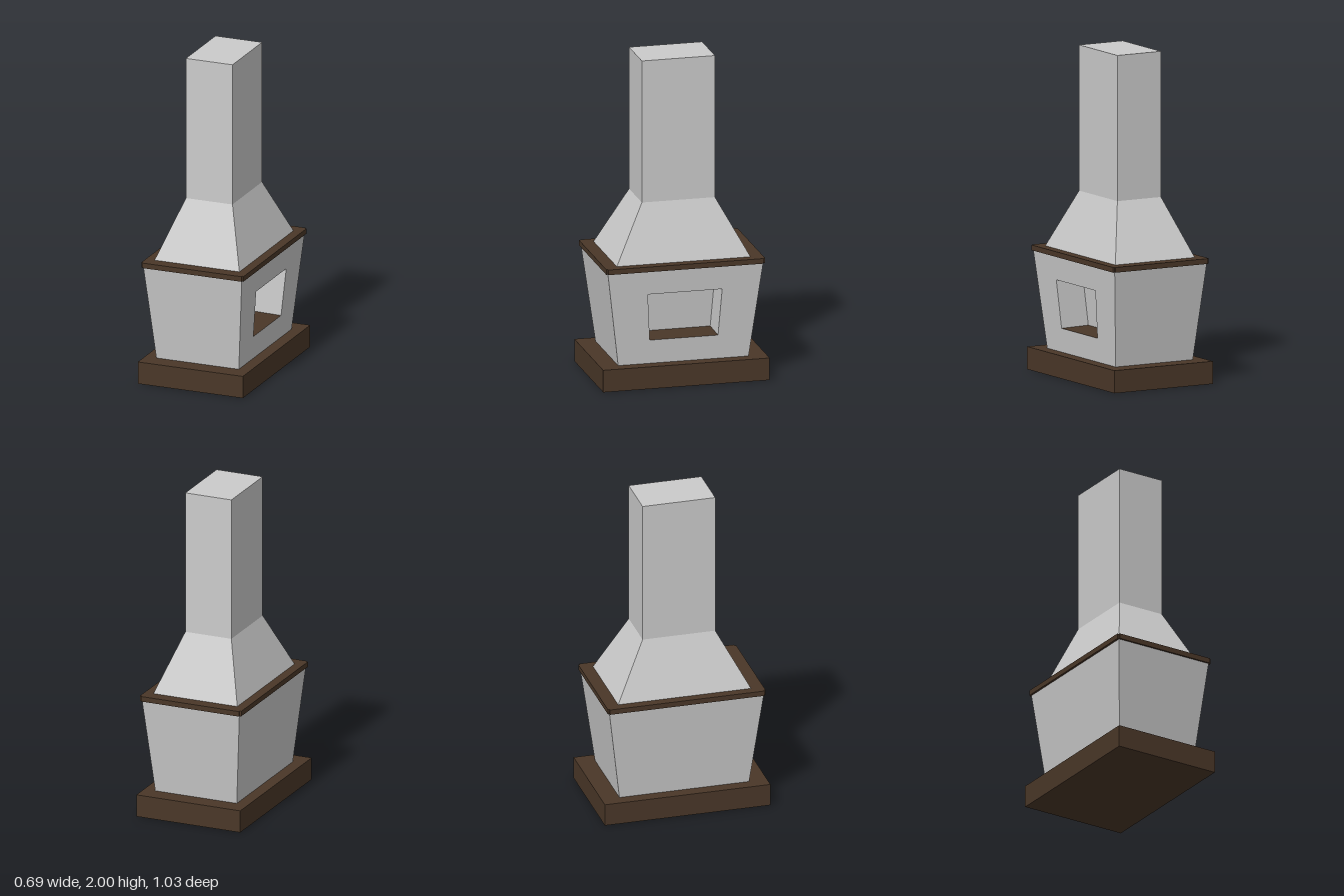
import * as THREE from 'three';

const grey = new THREE.MeshStandardMaterial({ color: 0xcccccc, flatShading: true });
const brown = new THREE.MeshStandardMaterial({ color: 0x4a3728, flatShading: true });

// Mesh from four-cornered faces, corners counter-clockwise seen from outside
function quadMesh(name, quads, material) {
  const points = quads.flatMap(([a, b, c, d]) => [a, b, c, a, c, d]);
  const geometry = new THREE.BufferGeometry();
  geometry.setAttribute('position', new THREE.Float32BufferAttribute(points.flat(), 3));
  geometry.computeVertexNormals();
  const mesh = new THREE.Mesh(geometry, material);
  mesh.name = name;
  return mesh;
}

// Corners of a rectangle at height y, starting at +x +z and running past +x -z
const ring = (x, y, z) => [[x, y, z], [x, y, -z], [-x, y, -z], [-x, y, z]];

// Sides between two four-cornered rings; side 0 faces +x
const sides = (low, high) => low.map((p, i) => {
  const j = (i + 1) % 4;
  return [p, low[j], high[j], high[i]];
});

export function createModel() {
  const model = new THREE.Group();
  model.name = 'fireplace';

  // Plinth
  const plinth = new THREE.Mesh(new THREE.BoxGeometry(0.686, 0.138, 1.034), brown);
  plinth.position.y = 0.069;
  plinth.name = 'plinth';
  model.add(plinth);

  // Firebox body, widening upwards, with an opening in its +x face
  const low = ring(0.269, 0.138, 0.405);
  const high = ring(0.321, 0.729, 0.482);
  const faceX = (y) => 0.269 + (0.052 * (y - 0.138)) / 0.591;
  const y0 = 0.287, y1 = 0.582, depth = 0.186;
  const opening = [[y0, 0.212], [y0, -0.212], [y1, -0.231], [y1, 0.231]]
    .map(([y, z]) => [faceX(y), y, z]);
  const [front, ...plainSides] = sides(low, high);
  model.add(quadMesh('body', [...plainSides, ...sides(front, opening)], grey));

  // Hearth recess: floor, two cheeks, ceiling and back
  const back = opening.map(([x, y, z], i) => [x - depth, i < 2 ? y + 0.004 : y, z]);
  const [floor, ...cheeks] = sides(opening, back);
  model.add(quadMesh('recess', [...cheeks, back], grey));
  model.add(quadMesh('hearthFloor', [floor], brown));

  // Mantel slab with small notched corners
  const w = 0.334, d = 0.493, n = 0.011;
  const outline = [];
  for (const [sx, sy] of [[1, 1], [-1, 1], [-1, -1], [1, -1]]) {
    const corner = [[w, d - n], [w - n, d - n], [w - n, d]];
    if (sx * sy < 0) corner.reverse();
    for (const [x, y] of corner) outline.push(new THREE.Vector2(sx * x, sy * y));
  }
  const slab = new THREE.ExtrudeGeometry(new THREE.Shape(outline), { depth: 0.032, bevelEnabled: false });
  slab.rotateX(-Math.PI / 2);
  const mantel = new THREE.Mesh(slab, brown);
  mantel.position.y = 0.729;
  mantel.name = 'mantel';
  model.add(mantel);

  // Tapered hood and chimney
  const hoodBase = ring(0.277, 0.761, 0.415);
  const neck = ring(0.152, 1.113, 0.227);
  const top = ring(0.152, 2, 0.227);
  model.add(quadMesh('hood', sides(hoodBase, neck), grey));
  model.add(quadMesh('chimney', [...sides(neck, top), top], grey));

  return model;
}
